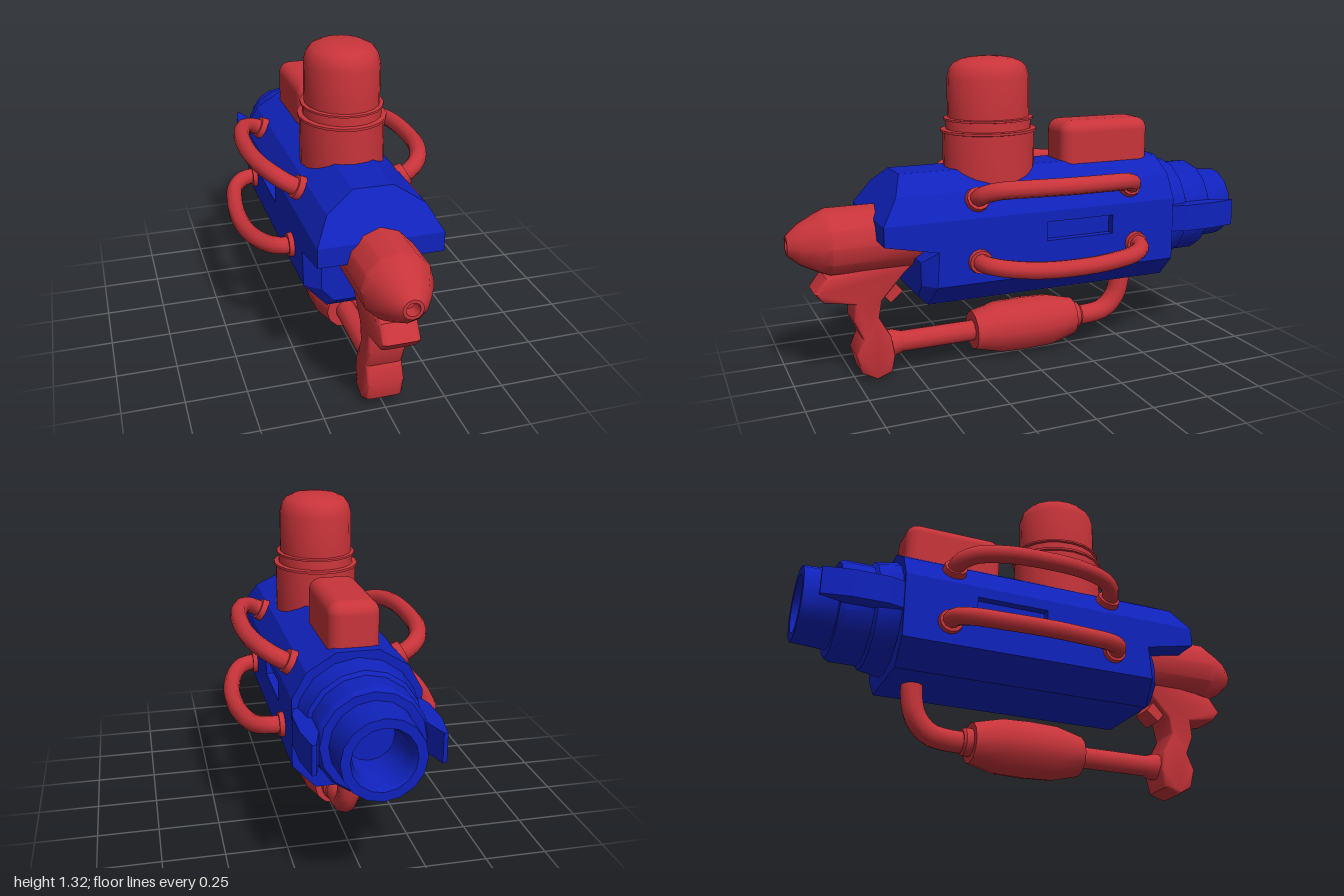
import * as THREE from 'three';
import { toCreasedNormals } from 'three/addons/utils/BufferGeometryUtils.js';
import { RoundedBoxGeometry } from 'three/addons/geometries/RoundedBoxGeometry.js';
import { ConvexGeometry } from 'three/addons/geometries/ConvexGeometry.js';

const red = new THREE.MeshStandardMaterial({ color: 0xc8343a });
const blue = new THREE.MeshStandardMaterial({ color: 0x1022bc });

const vec = (p) => new THREE.Vector3(...p);

function add(parent, name, geometry, material, pos = [0, 0, 0]) {
  const mesh = new THREE.Mesh(geometry, material);
  mesh.name = name;
  mesh.position.set(...pos);
  parent.add(mesh);
  return mesh;
}

// turned shape: [radius, height] points, kept sharp at strong edges
function turned(points, sides) {
  const g = new THREE.LatheGeometry(points.map(([r, h]) => new THREE.Vector2(r, h)), sides);
  return toCreasedNormals(g, 0.62);
}

// turned shape whose axis runs along z
const turnedZ = (points, sides) => turned(points, sides).rotateX(Math.PI / 2);

function tube(points, radius, segments = 28) {
  const curve = new THREE.CatmullRomCurve3(points.map(vec), false, 'centripetal');
  return new THREE.TubeGeometry(curve, segments, radius, 10);
}

// convex block, mirrored across x
const hull = (points) =>
  new ConvexGeometry(points.flatMap(([x, y, z]) => [vec([x, y, z]), vec([-x, y, z])]));

// slice of the body along z from a half outline
function slice(half, z0, z1) {
  const outline = [...half, ...half.map(([x, y]) => [-x, y]).reverse()];
  const shape = new THREE.Shape(outline.map(([x, y]) => new THREE.Vector2(x, y)));
  return new THREE.ExtrudeGeometry(shape, { depth: z1 - z0, bevelEnabled: false }).translate(0, 0, z0);
}

function buildBody(root) {
  const body = new THREE.Group();
  body.name = 'body';
  root.add(body);
  const upper = [[0.08, 0.87], [0.195, 0.8], [0.25, 0.7]];
  const lower = [[0.25, 0.43], [0.16, 0.335]];
  const notch = [[0.25, 0.655], [0.215, 0.655], [0.215, 0.575], [0.25, 0.575]];
  add(body, 'bodyRear', slice([...upper, ...lower], -0.63, -0.33), blue);
  // middle slice carries the recessed side slots
  add(body, 'bodySlots', slice([...upper, ...notch, ...lower], -0.33, -0.025), blue);
  add(body, 'bodyMiddle', slice([...upper, ...lower], -0.025, 0.4), blue);
  // sloping hood above the nozzle
  const hoodBack = [...upper, [0.25, 0.575]].map(([x, y]) => [x, y, 0.4]);
  const hoodFront = upper.map(([x, y]) => [x, y, 0.555 + (0.87 - y) * 0.66]);
  add(body, 'hood', hull([...hoodBack, ...hoodFront, [0.25, 0.62, 0.667], [0.25, 0.575, 0.445]]), blue);
  // bevelled chin below the nozzle
  const chin = [[0.25, 0.575], ...lower];
  add(body, 'chin', hull([
    ...chin.map(([x, y]) => [x, y, 0.4]), [0.25, 0.575, 0.445], [0.25, 0.43, 0.455], [0.16, 0.335, 0.47],
    [0.19, 0.525, 0.505], [0.19, 0.43, 0.505], [0.14, 0.37, 0.505],
  ]), blue);
}

function buildBarrel(root) {
  // stepped hollow barrel at the back
  add(root, 'barrel', turnedZ([
    [0, -0.8], [0.095, -0.8], [0.105, -0.96], [0.12, -1], [0.155, -1], [0.163, -0.86],
    [0.195, -0.86], [0.207, -0.84], [0.207, -0.73], [0.222, -0.72], [0.238, -0.63], [0, -0.62],
  ], 16), blue, [0, 0.607, 0]);
  // side fins
  const plan = [[0.18, -0.62], [0.24, -0.62], [0.26, -0.69], [0.26, -0.83], [0.24, -0.95], [0.225, -0.95], [0.18, -0.8]];
  for (const side of [1, -1]) {
    const points = plan.flatMap(([x, z]) => [0.55, 0.665].map((y) => vec([x * side, y, z])));
    add(root, side > 0 ? 'leftFin' : 'rightFin', new ConvexGeometry(points), blue);
  }
}

function buildTop(root) {
  // oval pressure tank with two collars
  const tank = add(root, 'tank', turned([
    [0.172, 0.8], [0.172, 1.01], [0.18, 1.012], [0.18, 1.022], [0.16, 1.024], [0.158, 1.06],
    [0.168, 1.062], [0.168, 1.07], [0.153, 1.072], [0.153, 1.235], [0.143, 1.275],
    [0.125, 1.298], [0.09, 1.314], [0.045, 1.321], [0, 1.323],
  ], 20), red, [0, 0, 0.137]);
  tank.scale.z = 1.14;
  add(root, 'topPod', new RoundedBoxGeometry(0.2, 0.26, 0.42, 4, 0.05), red, [0, 0.91, -0.38]);
}

function buildNozzle(root) {
  add(root, 'nozzle', turnedZ([
    [0, 0.38], [0.14, 0.4], [0.14, 0.84], [0.125, 0.875], [0.085, 0.95], [0.05, 0.99],
    [0.04, 1], [0.027, 1], [0.025, 0.95], [0, 0.95],
  ], 12), red, [0, 0.602, 0]);
}

function buildHandle(root) {
  // grip with rear tang, outlined in z and y
  const outline = [
    [0.46, 0.53], [0.855, 0.46], [0.895, 0.405], [0.87, 0.375], [0.74, 0.35], [0.745, 0.27], [0.71, 0.19],
    [0.74, 0.12], [0.72, 0.045], [0.667, 0.015], [0.61, 0.035], [0.597, 0.1], [0.61, 0.18],
    [0.66, 0.27], [0.645, 0.35], [0.545, 0.46],
  ].map(([z, y]) => new THREE.Vector2(z, y));
  const grip = new THREE.ExtrudeGeometry(new THREE.Shape(outline), {
    depth: 0.11, bevelThickness: 0.02, bevelSize: 0.01, bevelSegments: 2,
  }).translate(0, 0, -0.055).rotateY(-Math.PI / 2);
  add(root, 'grip', toCreasedNormals(grip, 0.7), red);
  const trigger = add(root, 'trigger', new THREE.BoxGeometry(0.1, 0.16, 0.07), red, [0, 0.41, 0.62]);
  trigger.rotation.x = 0.7;

  // lower rod bending up into the body
  add(root, 'lowerRod', tube([
    [0, 0.132, 0.62], [0, 0.132, 0.3], [0, 0.132, -0.1], [0, 0.132, -0.38], [0, 0.15, -0.44],
    [0, 0.205, -0.49], [0, 0.28, -0.51], [0, 0.36, -0.513],
  ], 0.046, 40), red);
  // barrel-shaped foregrip with end collars
  add(root, 'foregrip', turnedZ([
    [0, -0.3], [0.05, -0.3], [0.058, -0.29], [0.058, -0.26], [0.085, -0.26], [0.115, -0.14],
    [0.119, -0.02], [0.115, 0.1], [0.085, 0.22], [0, 0.22],
  ], 12), red, [0, 0.132, 0]);
  add(root, 'rodCollar', turnedZ([[0.045, 0.54], [0.058, 0.58], [0.058, 0.62], [0, 0.62]], 12), red, [0, 0.132, 0]);
}

function buildHoses(root) {
  const upper = [
    [0.19, 0.755, 0.272], [0.255, 0.79, 0.27], [0.305, 0.815, 0.22], [0.345, 0.823, 0.1], [0.358, 0.822, -0.07],
    [0.345, 0.818, -0.25], [0.305, 0.807, -0.37], [0.255, 0.785, -0.42], [0.19, 0.755, -0.422],
  ];
  const lower = [
    [0.22, 0.522, 0.275], [0.3, 0.52, 0.27], [0.355, 0.51, 0.2], [0.39, 0.498, 0.07], [0.403, 0.495, -0.08],
    [0.39, 0.498, -0.25], [0.355, 0.51, -0.39], [0.3, 0.522, -0.44], [0.22, 0.525, -0.443],
  ];
  const up = vec([0, 1, 0]);
  for (const side of [1, -1]) {
    for (const [label, path, normal, foot] of [
      ['Upper', upper, [0.88, 0.48, 0], [0.222, 0.772]],
      ['Lower', lower, [1, 0, 0], [0.255, 0.522]],
    ]) {
      const name = (side > 0 ? 'left' : 'right') + label;
      add(root, name + 'Hose', tube(path.map(([x, y, z]) => [x * side, y, z]), 0.036), red);
      // collars where the hose meets the body
      const axis = vec([normal[0] * side, normal[1], 0]).normalize();
      for (const end of [path[0], path[path.length - 1]]) {
        const collar = add(root, name + 'Collar', new THREE.CylinderGeometry(0.048, 0.052, 0.03, 12), red,
          [foot[0] * side, foot[1], end[2]]);
        collar.quaternion.setFromUnitVectors(up, axis);
      }
    }
  }
}

export function createModel() {
  const root = new THREE.Group();
  root.name = 'waterBlaster';
  for (const build of [buildBody, buildBarrel, buildTop, buildNozzle, buildHandle, buildHoses]) build(root);
  return root;
}
